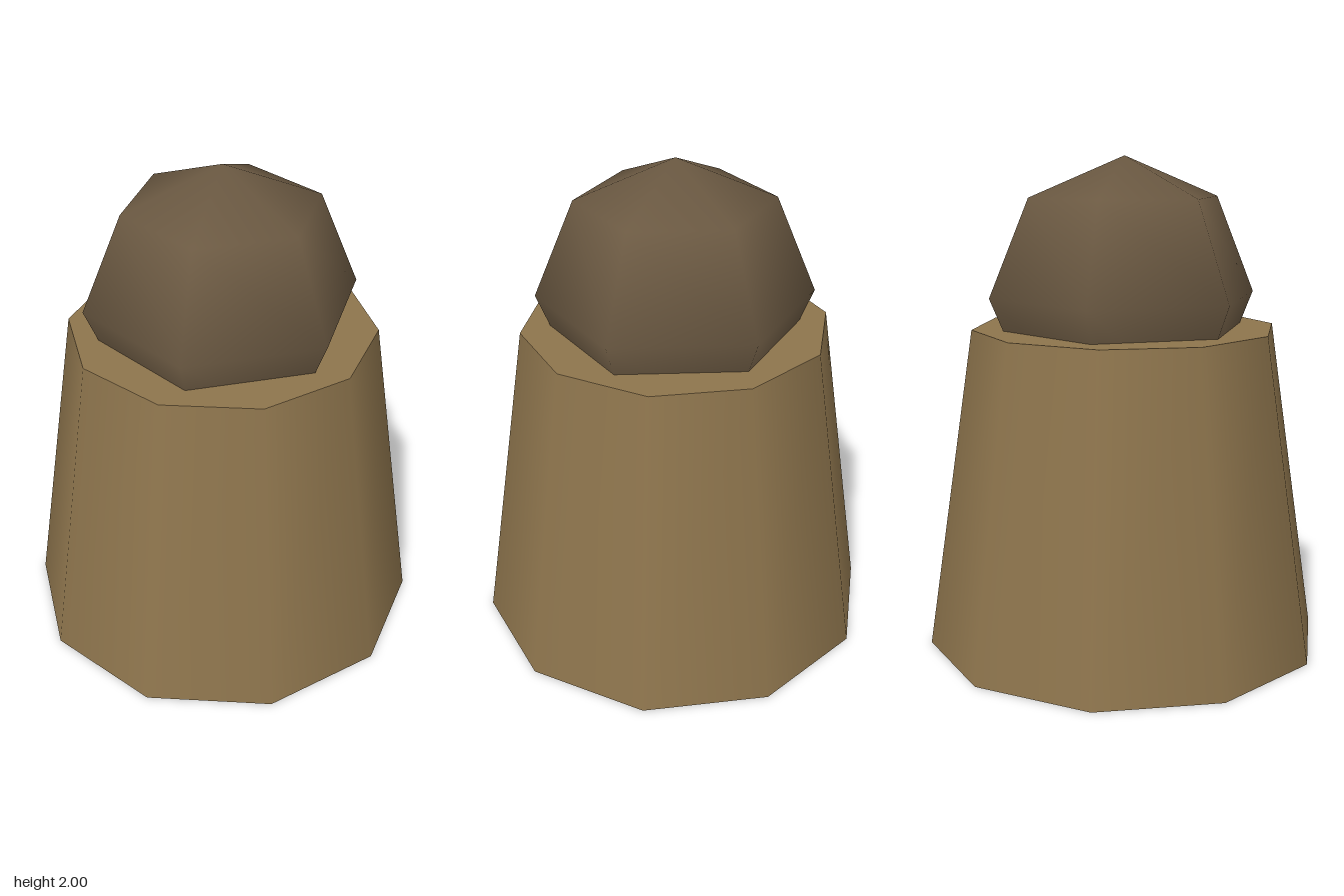
import * as THREE from 'three';

const bodyColour = new THREE.MeshStandardMaterial({ color: 0x8e754d });
bodyColour.name = 'tan';
const domeColour = new THREE.MeshStandardMaterial({ color: 0x6b5942 });
domeColour.name = 'dark brown';

export function createModel() {
  const model = new THREE.Group();
  model.name = 'domedPost';

  // Tapered ten-sided base, smooth around its side
  const height = 1.313;
  const base = new THREE.Mesh(new THREE.CylinderGeometry(0.622, 0.818, height, 10), bodyColour);
  base.name = 'base';
  base.position.y = height / 2;
  model.add(base);

  // Coarse six-sided ball sunk into the base
  const radius = 0.556;
  const dome = new THREE.Mesh(new THREE.SphereGeometry(radius, 6, 4), domeColour);
  dome.name = 'dome';
  dome.position.y = 2 - radius;
  model.add(dome);

  return model;
}
